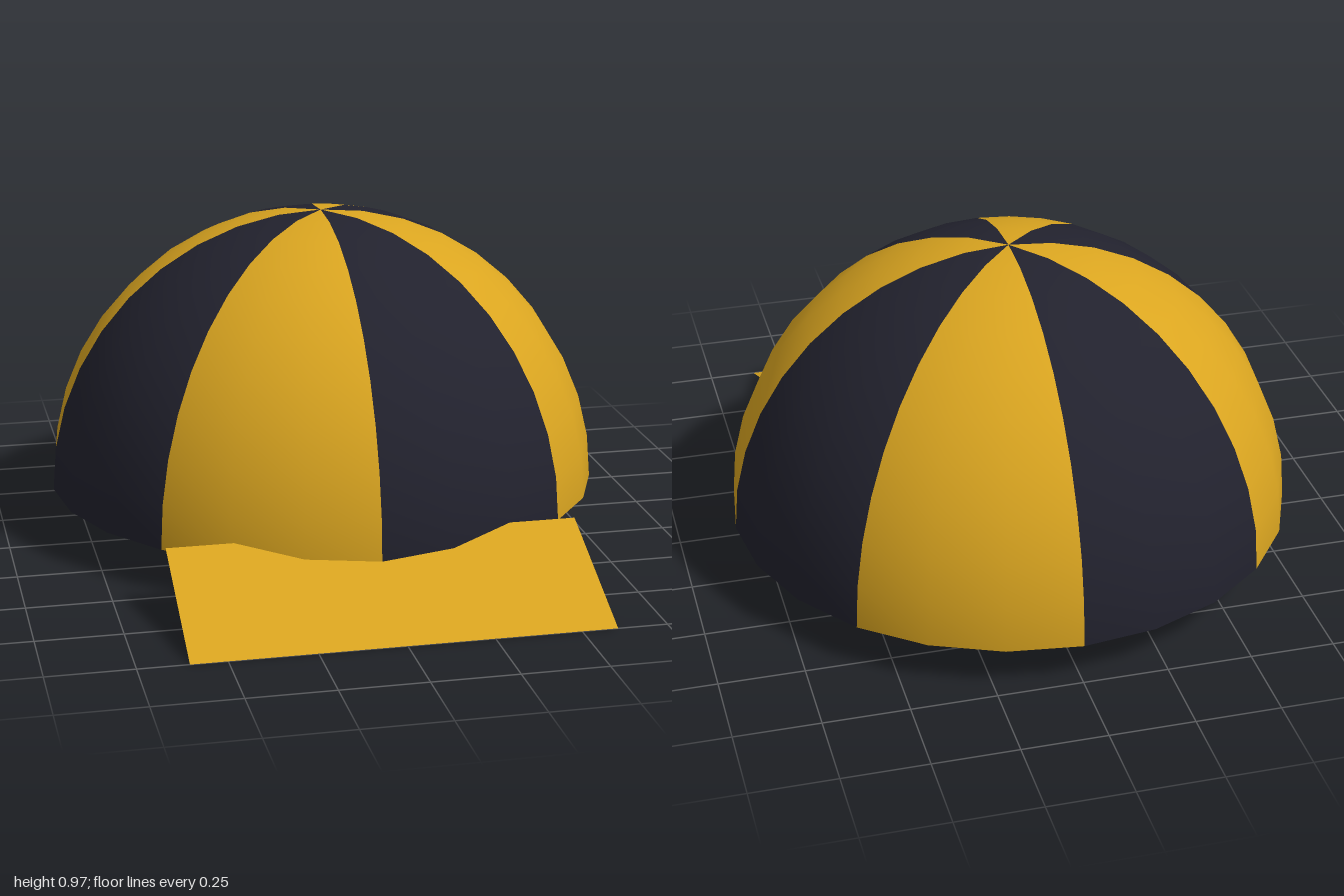
import * as THREE from 'three';

export function createModel() {
  const gold = new THREE.MeshStandardMaterial({ color: 0xdaa520, side: THREE.DoubleSide });
  gold.name = 'gold';
  const navy = new THREE.MeshStandardMaterial({ color: 0x22222e, side: THREE.DoubleSide });
  navy.name = 'dark navy';

  const cap = new THREE.Group();
  cap.name = 'cap';

  // Open hemispherical crown: eight panels in alternating colours
  const crown = new THREE.Group();
  crown.name = 'crown';
  crown.position.set(0, 0.125, -0.154);
  const panelCount = 8;
  const panelAngle = (Math.PI * 2) / panelCount;
  for (let i = 0; i < panelCount; i++) {
    const panel = new THREE.Mesh(
      new THREE.SphereGeometry(0.846, 3, 10, i * panelAngle, panelAngle, 0, Math.PI / 2),
      i % 2 === 0 ? navy : gold
    );
    panel.name = `crownPanel${i + 1}`;
    crown.add(panel);
  }
  cap.add(crown);

  // Flat brim, sloping down towards the front and cut into by the crown
  const rise = 0.18, run = 0.42;
  const brim = new THREE.Mesh(new THREE.PlaneGeometry(1.21, Math.hypot(rise, run)), gold);
  brim.name = 'brim';
  brim.rotation.x = -Math.PI / 2 + Math.atan2(rise, run);
  brim.position.set(0, rise / 2, 1 - run / 2);
  cap.add(brim);

  return cap;
}
